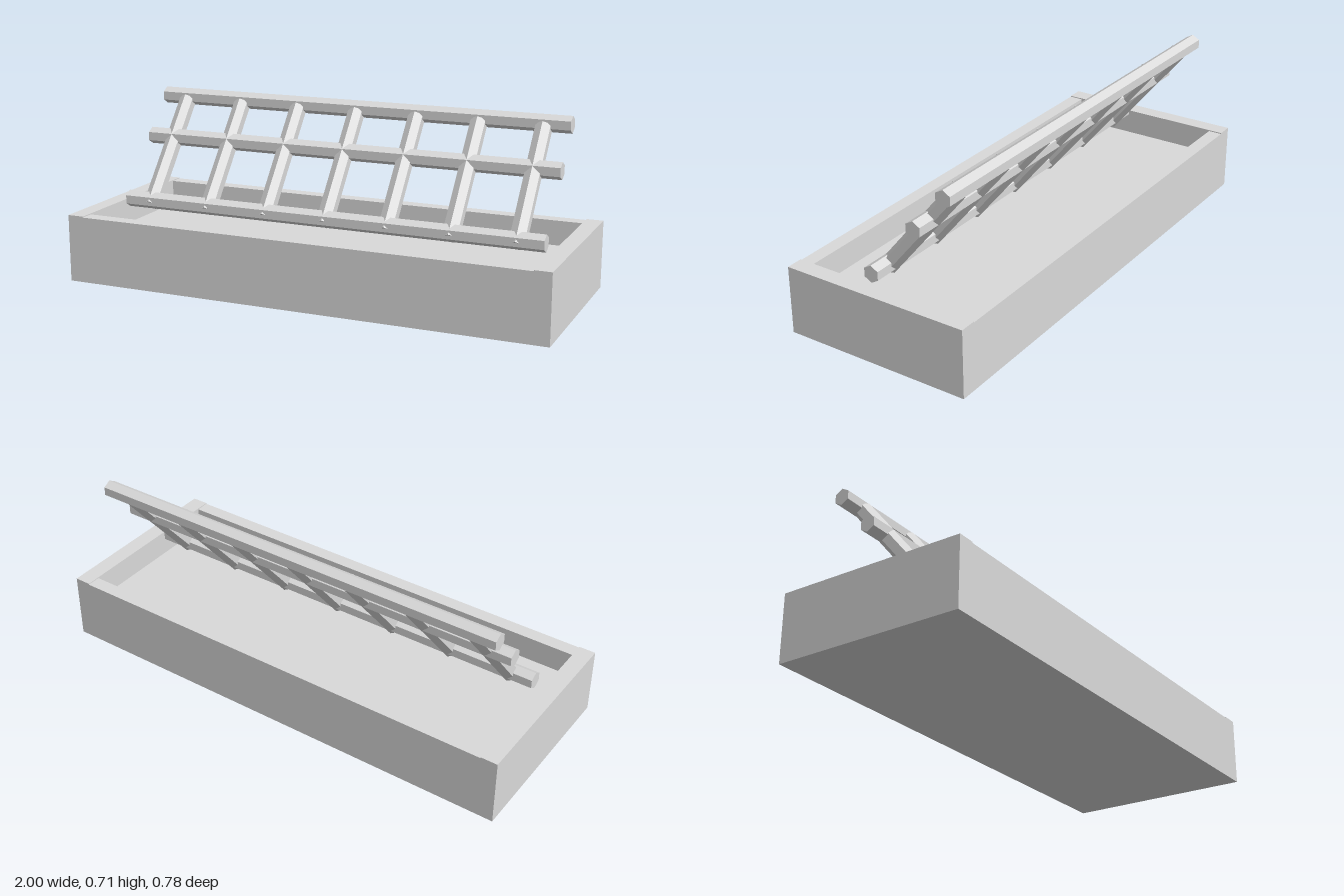
import * as THREE from 'three';

export function createModel() {
  const group = new THREE.Group();
  const grey = new THREE.MeshStandardMaterial({ color: 0xdadada, flatShading: true });
  grey.name = 'light grey';

  const add = (name, geometry, x, y, z) => {
    const mesh = new THREE.Mesh(geometry, grey);
    mesh.name = name;
    mesh.position.set(x, y, z);
    group.add(mesh);
    return mesh;
  };

  // Open planter box: raised floor, end walls and slightly lower long walls
  const floorY = 0.17, endTop = 0.276, longTop = 0.272;
  add('planterFloor', new THREE.BoxGeometry(1.864, floorY, 0.66), 0, floorY / 2, 0);
  for (const side of [-1, 1]) {
    add(side > 0 ? 'leftWall' : 'rightWall',
      new THREE.BoxGeometry(0.068, endTop, 0.776), side * 0.966, endTop / 2, 0);
    add(side > 0 ? 'frontWall' : 'backWall',
      new THREE.BoxGeometry(1.864, longTop, 0.058), 0, longTop / 2, side * 0.359);
  }

  // Hexagonal horizontal rails of the leaning trellis
  const radius = 0.035;
  const railGeometry = new THREE.CylinderGeometry(radius, radius, 1.792, 6, 1, false, Math.PI / 6);
  const rails = [['bottomRail', 0.291, 0.087], ['middleRail', 0.525, -0.11], ['topRail', 0.68, -0.243]];
  for (const [name, y, z] of rails) {
    add(name, railGeometry, 0, y, z).rotation.z = Math.PI / 2;
  }

  // Seven hexagonal slats leaning back
  const foot = new THREE.Vector3(0, 0.272, 0.097);
  const head = new THREE.Vector3(0, 0.671, -0.232);
  const middle = foot.clone().lerp(head, 0.5);
  const slatGeometry = new THREE.CylinderGeometry(radius, radius, foot.distanceTo(head), 6);
  const lean = Math.atan2(head.z - foot.z, head.y - foot.y);
  for (let i = -3; i <= 3; i++) {
    add('trellisSlat', slatGeometry, i * 0.262, middle.y, middle.z).rotation.x = lean;
  }

  return group;
}
